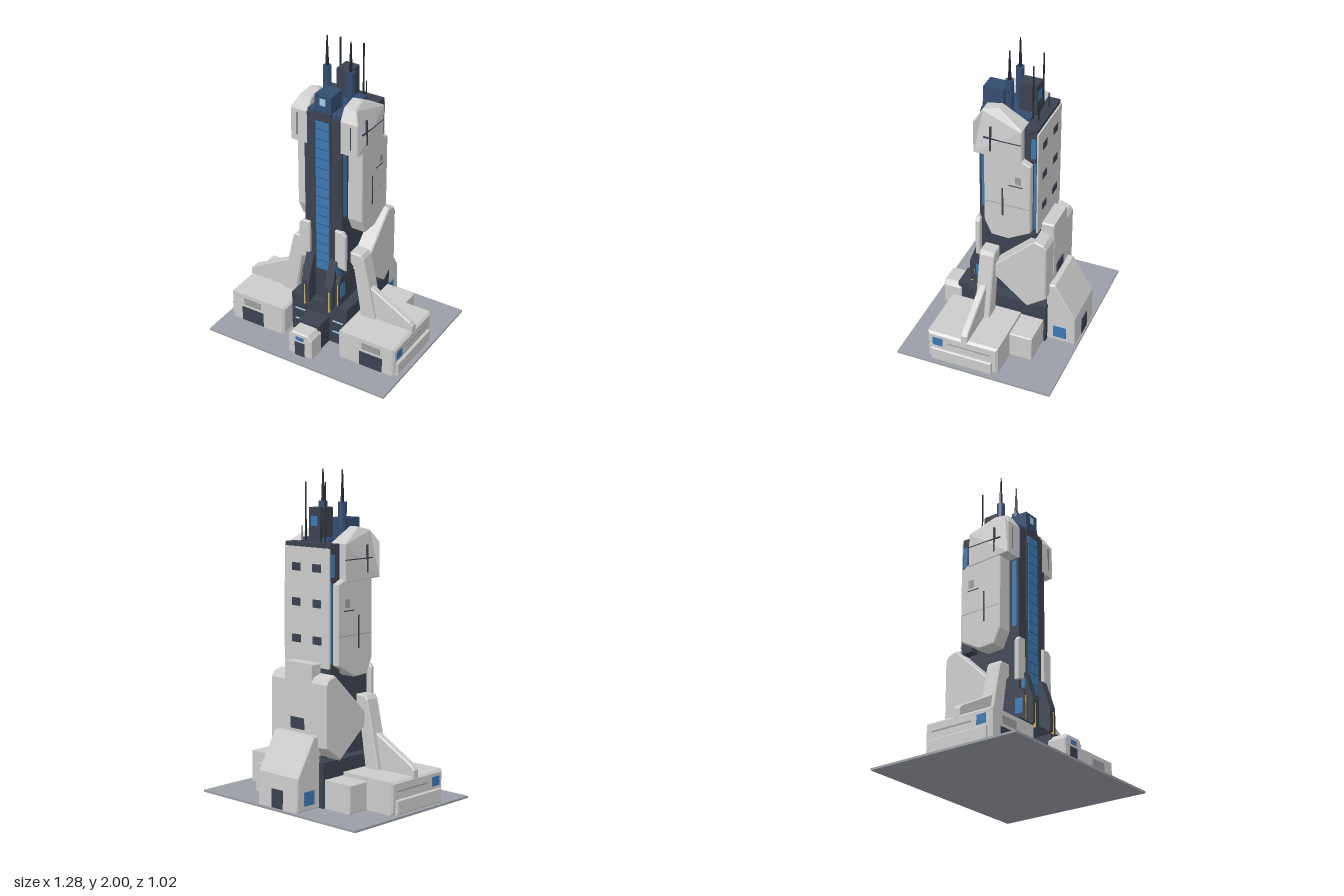
import * as THREE from 'three';

const mat = (color) => new THREE.MeshStandardMaterial({ color, flatShading: true });
const GREY = mat(0xcccccc), DARK = mat(0x3b424f), NAVY = mat(0x334d70), GLASS = mat(0x3a78b0),
  PALE = mat(0xa8cbe4), YELLOW = mat(0xd8b040), BASE = mat(0x9a9ea6), VENT = mat(0x9a9ca0), BLACK = mat(0x20252e);

export function createModel() {
  const root = new THREE.Group();

  const add = (name, geometry, material) => {
    const mesh = new THREE.Mesh(geometry, material);
    mesh.name = name;
    root.add(mesh);
    return mesh;
  };

  // Chamfered extrusion that stays inside the given outline
  const extrude = (points, depth, bevel) => {
    const g = new THREE.ExtrudeGeometry(new THREE.Shape(points.map(([a, b]) => new THREE.Vector2(a, b))), {
      depth: depth - 2 * bevel, bevelEnabled: bevel > 0, bevelSize: bevel, bevelThickness: bevel,
      bevelOffset: -bevel, bevelSegments: 1,
    });
    return g.translate(0, 0, bevel);
  };
  // Profile of [z, y] points extruded from x0 to x1
  const sideways = (name, points, x0, x1, material, bevel = 0) =>
    add(name, extrude(points, x1 - x0, bevel).rotateY(-Math.PI / 2).translate(x1, 0, 0), material);
  // Profile of [x, y] points extruded from z0 to z1
  const forward = (name, points, z0, z1, material, bevel = 0) =>
    add(name, extrude(points, z1 - z0, bevel).translate(0, 0, z0), material);
  // Box from ranges, optionally chamfered
  const box = (name, x0, x1, y0, y1, z0, z1, material, bevel = 0) => bevel
    ? sideways(name, [[z0, y0], [z1, y0], [z1, y1], [z0, y1]], x0, x1, material, bevel)
    : add(name, new THREE.BoxGeometry(x1 - x0, y1 - y0, z1 - z0)
      .translate((x0 + x1) / 2, (y0 + y1) / 2, (z0 + z1) / 2), material);
  const rod = (name, x, z, y0, y1, rBottom, rTop, sides, material) =>
    add(name, new THREE.CylinderGeometry(rTop, rBottom, y1 - y0, sides).translate(x, (y0 + y1) / 2, z), material);

  // Ground plate and central base
  box('groundPlate', -0.64, 0.64, 0, 0.013, -0.51, 0.51, BASE);
  box('centralBase', -0.2, 0.2, 0.013, 0.29, -0.31, 0.215, DARK);
  box('entranceCorridor', -0.075, 0.075, 0.013, 0.2, 0.2, 0.34, DARK);

  // Entrance block
  forward('entranceBlock', [[-0.085, 0.013], [0.085, 0.013], [0.085, 0.15], [0.06, 0.183], [-0.06, 0.183], [-0.085, 0.15]],
    0.318, 0.44, GREY, 0.008);
  box('entranceDoor', -0.035, 0.035, 0.015, 0.115, 0.43, 0.443, DARK);
  box('entranceWindow', -0.027, 0.027, 0.13, 0.155, 0.43, 0.443, GLASS);

  // Rear annex with sloping back
  sideways('rearAnnex', [[-0.3, 0.013], [-0.3, 0.45], [-0.355, 0.45], [-0.49, 0.22], [-0.495, 0.013]], -0.165, 0.165, GREY, 0.008);
  box('rearDoor', -0.045, 0.045, 0.015, 0.13, -0.499, -0.48, DARK);

  // Tower core, roof and rear plate
  box('towerCore', -0.13, 0.13, 0.28, 1.36, -0.21, 0.155, DARK);
  box('upperCore', -0.112, 0.112, 1.36, 1.58, -0.21, 0.155, DARK);
  box('roof', -0.11, 0.11, 1.57, 1.6, -0.16, 0.148, NAVY);
  box('rearCore', -0.185, 0.185, 0.8, 1.575, -0.233, -0.155, DARK);
  box('rearPlate', -0.185, 0.185, 0.84, 1.55, -0.243, -0.23, GREY, 0.003);
  for (const y of [1.43, 1.22, 1.0])
    for (const x of [-0.085, 0.085]) box('rearWindow', x - 0.035, x + 0.035, y - 0.024, y + 0.024, -0.246, -0.235, DARK);

  // Glazed front spine
  box('spine', -0.056, 0.056, 0.29, 1.6, 0.1, 0.162, DARK);
  box('spineGlass', -0.046, 0.046, 0.505, 1.54, 0.15, 0.167, GLASS);
  for (let i = 0; i < 15; i++) box('glassBar', -0.046, 0.046, 0.565 + i * 0.066, 0.569 + i * 0.066, 0.16, 0.1685, NAVY);
  box('spineHead', -0.055, 0.055, 1.54, 1.71, 0.03, 0.158, NAVY);
  box('headLamp', -0.018, 0.018, 1.645, 1.69, 0.15, 0.161, PALE);

  // Roof machinery
  box('roofTower', -0.046, 0.046, 1.57, 1.78, -0.175, -0.065, DARK);
  box('roofTowerWindow', -0.025, 0.025, 1.67, 1.73, -0.178, -0.17, GLASS);

  // Lower rear shell and buttress
  const shell = [[0.02, 0.56], [-0.24, 0.81], [-0.3, 0.79], [-0.318, 0.76], [-0.318, 0.38], [-0.195, 0.29], [0.02, 0.47]];
  sideways('rearShell', shell, -0.232, 0.232, GREY, 0.008);
  box('rearButtress', -0.112, 0.112, 0.3, 0.872, -0.322, -0.235, GREY, 0.008);
  box('buttressWindow', -0.055, 0.055, 0.47, 0.54, -0.326, -0.315, DARK);

  for (const s of [1, -1]) {
    // Mirrored versions of the builders, with x measured outward from the centre
    const mBox = (name, x0, x1, ...rest) => box(name, s > 0 ? x0 : -x1, s > 0 ? x1 : -x0, ...rest);
    const mSide = (name, p, x0, x1, ...rest) => sideways(name, p, s > 0 ? x0 : -x1, s > 0 ? x1 : -x0, ...rest);
    const mFront = (name, p, ...rest) => forward(name, p.map(([x, y]) => [s * x, y]), ...rest);

    // Side wing with doors, vent and side panel
    mBox('wing', 0.2, 0.597, 0.013, 0.212, -0.15, 0.316, GREY, 0.014);
    mBox('wingDoor', 0.355, 0.515, 0.015, 0.117, 0.305, 0.319, DARK);
    mBox('wingVent', 0.372, 0.5, 0.138, 0.185, 0.305, 0.318, VENT);
    mBox('wingSidePanel', 0.585, 0.614, 0.013, 0.102, -0.115, 0.29, GREY, 0.006);
    mBox('wingWindow', 0.585, 0.6, 0.12, 0.178, 0.215, 0.28, GLASS);
    mBox('wingSlot', 0.585, 0.599, 0.148, 0.156, -0.1, 0.175, VENT);
    mBox('rearBlock', 0.18, 0.4, 0.013, 0.187, -0.296, -0.14, GREY, 0.006);
    mBox('annexWindow', 0.155, 0.168, 0.045, 0.13, -0.435, -0.35, GLASS);
    for (const y of [0.1, 0.18]) mBox('baseLight', 0.1, 0.175, y - 0.005, y + 0.005, 0.21, 0.218, PALE);

    // Leaning fin and its bracing strut
    mFront('fin', [[0.16, 0.655], [0.238, 0.655], [0.255, 0.63], [0.295, 0.45], [0.345, 0.2], [0.24, 0.2], [0.185, 0.55], [0.16, 0.58]],
      0.012, 0.11, GREY, 0.007);
    mFront('strut', [[0.28, 0.2], [0.597, 0.2], [0.597, 0.25], [0.575, 0.275], [0.3, 0.43], [0.28, 0.43]], 0.046, 0.092, GREY, 0.006);

    // Middle armour
    mSide('middleArmour', [[0.085, 1.37], [0.085, 0.88], [0.04, 0.785], [-0.07, 0.78], [-0.21, 0.86], [-0.21, 1.34], [-0.15, 1.37]],
      0.12, 0.227, GREY, 0.006);
    mBox('armourSlot', 0.22, 0.229, 0.95, 1.15, -0.039, -0.029, DARK);
    mBox('armourHatch', 0.22, 0.23, 1.2, 1.25, -0.152, -0.115, VENT);
    mBox('armourSeam', 0.22, 0.229, 1.178, 1.184, -0.16, -0.075, DARK);
    mBox('armourSeam', 0.22, 0.228, 1.03, 1.034, -0.205, 0.08, VENT);

    // Upper armour, its outer top edge drawn inward
    const upper = mSide('upperArmour', [[0.15, 1.36], [0.15, 1.57], [0.105, 1.645], [0.01, 1.667], [-0.155, 1.575], [-0.155, 1.345]],
      0.11, 0.23, GREY, 0.006);
    const pos = upper.geometry.attributes.position;
    for (let i = 0; i < pos.count; i++) {
      const x = Math.abs(pos.getX(i)), lift = pos.getY(i) - 1.58;
      if (x > 0.17 && lift > 0) pos.setX(i, s * (x - lift * 0.6));
    }
    upper.geometry.computeVertexNormals();
    mBox('upperSlot', 0.22, 0.232, 1.395, 1.56, 0.036, 0.046, DARK);
    mBox('upperSeam', 0.22, 0.232, 1.478, 1.484, -0.15, 0.085, DARK);
    mBox('frontSlot', 0.181, 0.187, 1.4, 1.55, 0.145, 0.152, DARK);

    // Side glazing
    mBox('sideGlass', 0.125, 0.133, 0.91, 1.345, 0.105, 0.14, GLASS);
    mBox('rearSideGlass', 0.18, 0.188, 0.87, 1.35, -0.231, -0.217, GLASS);
    mBox('upperSideGlass', 0.18, 0.188, 1.38, 1.515, -0.228, -0.198, GLASS);

    // Foot buttresses with light strips, and grey pylons
    mSide('innerFoot', [[0.1, 0.28], [0.24, 0.28], [0.24, 0.43], [0.18, 0.605], [0.1, 0.605]], 0.056, 0.11, DARK);
    mBox('innerLight', 0.085, 0.093, 0.255, 0.405, 0.23, 0.2425, YELLOW);
    mSide('outerFoot', [[0.08, 0.28], [0.2, 0.28], [0.2, 0.45], [0.18, 0.5], [0.08, 0.5]], 0.1, 0.136, DARK);
    mBox('outerLight', 0.124, 0.131, 0.3, 0.45, 0.19, 0.203, YELLOW);
    mBox('footWindow', 0.13, 0.139, 0.345, 0.44, 0.132, 0.185, GLASS);
    mBox('footUpperWindow', 0.1, 0.113, 0.51, 0.57, 0.16, 0.187, GLASS);
    mFront('pylon', [[0.09, 0.57], [0.165, 0.55], [0.165, 0.8], [0.145, 0.825], [0.09, 0.825]], 0.145, 0.175, GREY, 0.005);

    // Antennas
    rod('antennaPod', s * 0.08, -0.02, 1.58, 1.81, 0.026, 0.026, 8, NAVY);
    rod('antennaCollar', s * 0.08, -0.02, 1.58, 1.62, 0.034, 0.03, 8, NAVY);
    rod('antennaSpike', s * 0.08, -0.02, 1.81, 2, 0.011, 0.004, 8, BLACK);
    rod('rearAntenna', s * 0.08, -0.166, 1.57, 1.93, 0.005, 0.005, 6, BLACK);
    rod('shortAntenna', s * 0.08, -0.2, 1.57, 1.67, 0.004, 0.004, 6, BLACK);
  }
  return root;
}
